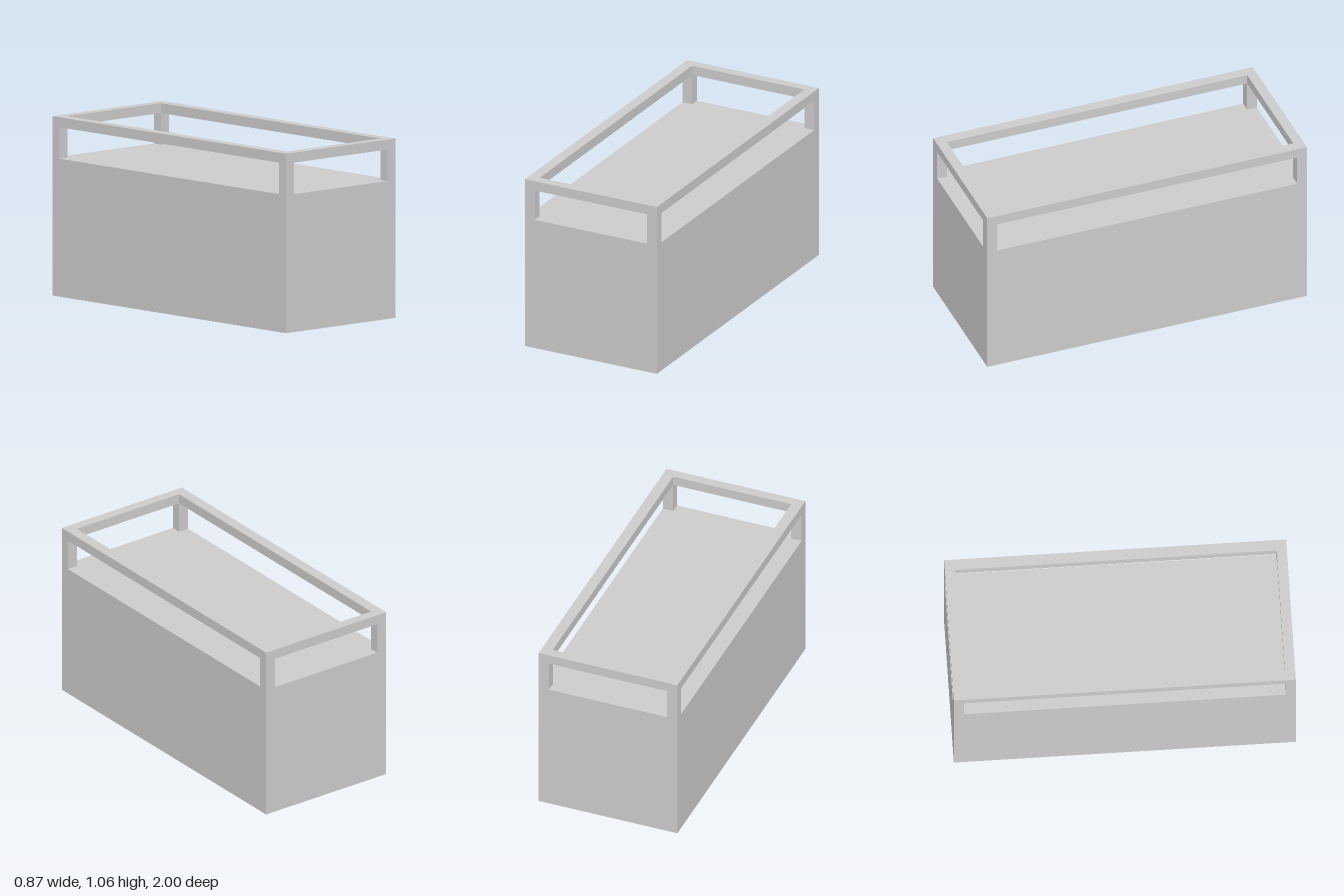
import * as THREE from 'three';

const W = 0.873, D = 2, H = 1.059;      // overall size
const BODY = 0.814, RAIL_Y = 1.0;       // top of the body, underside of the rail
const PX = 0.065, PZ = 0.06;            // post thickness in x and z

export function createModel() {
  const group = new THREE.Group();
  const material = new THREE.MeshStandardMaterial({ color: 0xcccccc });

  const add = (name, geometry, x, y, z) => {
    const mesh = new THREE.Mesh(geometry, material);
    mesh.name = name;
    mesh.position.set(x, y, z);
    group.add(mesh);
    return mesh;
  };

  // Solid lower body
  add('body', new THREE.BoxGeometry(W, BODY, D), 0, BODY / 2, 0);

  // Four corner posts
  const postH = RAIL_Y - BODY;
  for (const sx of [-1, 1]) for (const sz of [-1, 1]) {
    add(`${sz > 0 ? 'front' : 'back'}${sx > 0 ? 'Left' : 'Right'}Post`,
      new THREE.BoxGeometry(PX, postH, PZ),
      sx * (W - PX) / 2, BODY + postH / 2, sz * (D - PZ) / 2);
  }

  // Rectangular top rail, one frame with an open middle
  const rect = (Type, w, d) => new Type([
    new THREE.Vector2(-w / 2, -d / 2), new THREE.Vector2(w / 2, -d / 2),
    new THREE.Vector2(w / 2, d / 2), new THREE.Vector2(-w / 2, d / 2),
  ]);
  const frame = rect(THREE.Shape, W, D);
  frame.holes.push(rect(THREE.Path, W - 2 * PX, D - 2 * PZ));
  const rail = new THREE.ExtrudeGeometry(frame, { depth: H - RAIL_Y, bevelEnabled: false });
  rail.rotateX(-Math.PI / 2);
  add('topRail', rail, 0, RAIL_Y, 0);

  return group;
}
